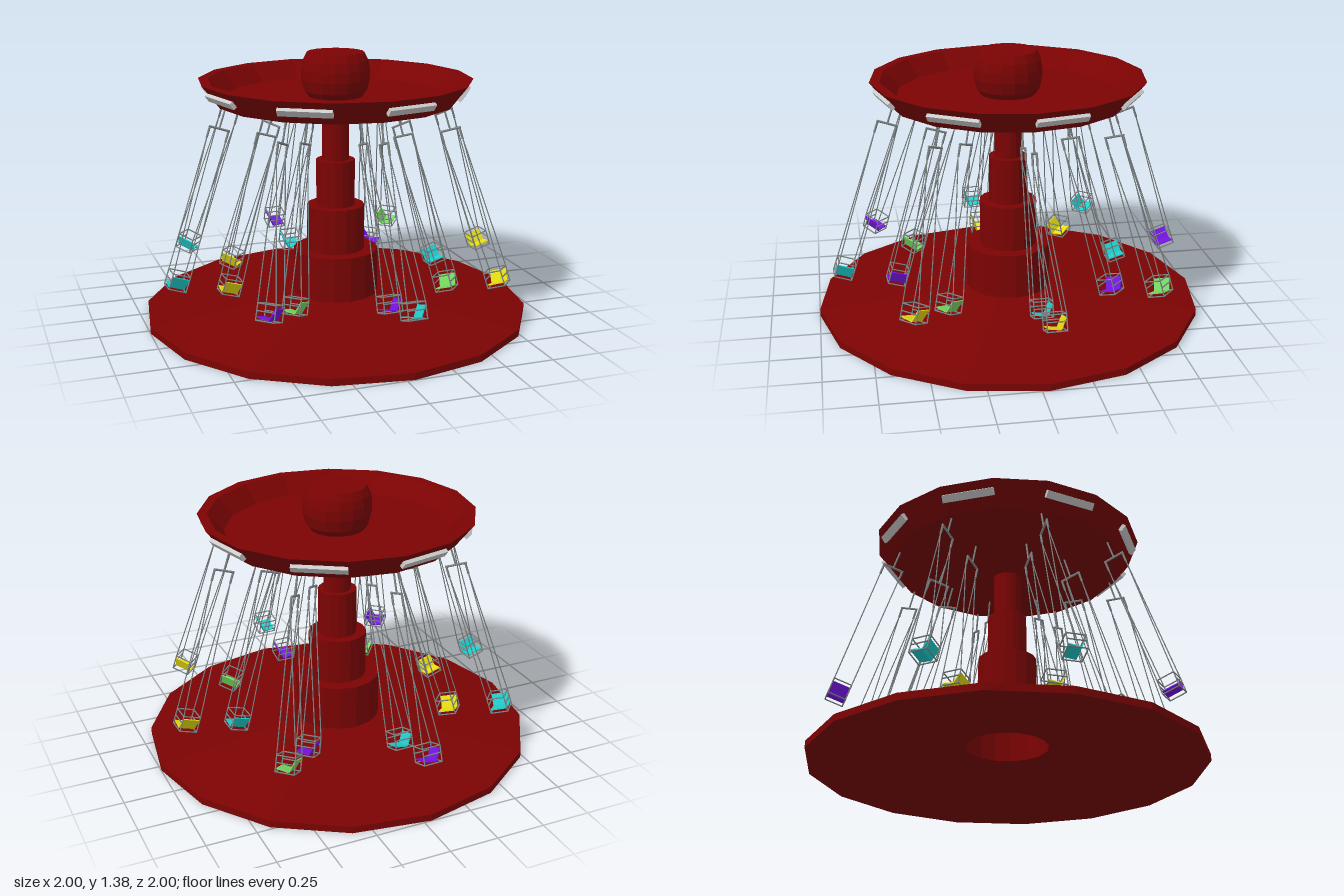
import * as THREE from 'three';
import { mergeGeometries } from 'three/addons/utils/BufferGeometryUtils.js';

const SIDES = 16;
const START = THREE.MathUtils.degToRad(2.25); // slight turn of the whole ride

const mat = (name, color) => {
  const m = new THREE.MeshStandardMaterial({ color });
  m.name = name;
  return m;
};

// faceted turned shape from a [radius, y] profile
function turned(profile) {
  const pts = profile.map(([r, y]) => new THREE.Vector2(r, y));
  const g = new THREE.LatheGeometry(pts, SIDES, START).toNonIndexed();
  g.computeVertexNormals();
  return g;
}

// thin straight rod between two points
function rod(a, b, radius) {
  const p = new THREE.Vector3(...a), q = new THREE.Vector3(...b);
  const dir = q.clone().sub(p);
  const g = new THREE.CylinderGeometry(radius, radius, dir.length(), 5);
  g.applyQuaternion(new THREE.Quaternion().setFromUnitVectors(
    new THREE.Vector3(0, 1, 0), dir.clone().normalize()));
  const mid = p.add(q).multiplyScalar(0.5);
  return g.translate(mid.x, mid.y, mid.z);
}

// seat board sloping from [y, z] to [y, z]
function board([y1, z1], [y2, z2]) {
  const dy = y2 - y1, dz = z2 - z1;
  return new THREE.BoxGeometry(0.086, 0.006, Math.hypot(dy, dz))
    .rotateX(Math.atan2(-dy, dz))
    .translate(0, (y1 + y2) / 2, (z1 + z2) / 2);
}

export function createModel() {
  const model = new THREE.Group();
  model.name = 'chairSwingRide';

  const red = mat('dark red', 0x7c0303);
  const silver = mat('light panel grey', 0xcccccc);
  const steel = mat('steel grey', 0x808686);
  const teal = mat('teal', 0x1fcfcf);
  const yellow = mat('yellow', 0xe6de12);
  const green = mat('green', 0x76dc62);
  const purple = mat('purple', 0x7a16ee);

  const add = (parent, name, geometry, material) => {
    const mesh = new THREE.Mesh(geometry, material);
    mesh.name = name;
    parent.add(mesh);
    return mesh;
  };

  // conical platform, hollow underneath, and the stepped tower
  add(model, 'platform', turned([
    [0, 0.33], [0.21, 0.33], [0.21, 0.105], [0.995, 0.002], [1, 0], [1, 0.035], [0.215, 0.112],
  ]), red);
  add(model, 'tower', turned([
    [0.22, 0.108], [0.22, 0.345], [0.15, 0.345], [0.15, 0.58],
    [0.1, 0.58], [0.1, 0.82], [0.07, 0.82], [0.07, 1.07],
  ]), red);

  // dish-shaped canopy and the knob on top
  add(model, 'canopy', turned([
    [0, 1.057], [0.2, 1.062], [0.61, 1.125], [0.7, 1.24], [0.65, 1.24], [0.57, 1.15], [0, 1.15],
  ]), red);
  add(model, 'knob', turned([
    [0.13, 1.14], [0.16, 1.18], [0.175, 1.24], [0.175, 1.29],
    [0.166, 1.335], [0.146, 1.375], [0, 1.375],
  ]), red);

  // light panels on every other canopy facet
  const panelGeo = new THREE.BoxGeometry(0.264, 0.038, 0.02);
  for (let i = 0; i < 8; i++) {
    const az = START + Math.PI / SIDES + i * Math.PI / 4;
    const panel = add(model, 'lightPanel', panelGeo, silver);
    panel.position.set(Math.sin(az) * 0.656, 1.185, Math.cos(az) * 0.656);
    panel.rotation.set(0.66, az, 0, 'YXZ');
  }

  // swing parts: x points outwards, -z is where the backrest leans
  const W = 0.045, OPEN = 0, BACK = -0.095, TOP = -0.845, BOTTOM = -0.925;
  const BAR = -0.1, PRONG = -0.16;
  const hanger = [
    rod([0, 0.03, 0], [0, BAR, 0], 0.005),
    rod([-0.055, BAR, 0], [0.055, BAR, 0], 0.006),
  ];
  const chains = [];
  const cage = [];
  for (const s of [-1, 1]) {
    const x = s * W;
    hanger.push(rod([s * 0.05, BAR, 0], [s * 0.05, PRONG, 0], 0.006));
    for (const z of [OPEN, BACK]) {
      chains.push(rod([s * 0.05, PRONG, 0], [x, TOP, z], 0.003));
      cage.push(rod([x, TOP, z], [x, BOTTOM, z], 0.0035));
    }
    for (const y of [TOP, -0.88, BOTTOM]) {
      cage.push(rod([x, y, OPEN], [x, y, BACK], 0.0035));
    }
  }
  for (const z of [OPEN, BACK]) {
    for (const y of [TOP, BOTTOM]) cage.push(rod([-W, y, z], [W, y, z], 0.0035));
  }
  const hangerGeo = mergeGeometries(hanger);
  const chainGeo = mergeGeometries(chains);
  const cageGeo = mergeGeometries(cage);
  const seatGeo = mergeGeometries([
    board([-0.908, -0.004], [-0.918, -0.066]),
    board([-0.918, -0.066], [-0.86, -0.093]),
  ]);

  // two rings of eight swings, counted from the front towards the left
  const rings = [
    { name: 'outerSwing', radius: 0.584, y: 1.12, tilt: 18.5,
      colors: [teal, yellow, yellow, green, purple, teal, teal, purple] },
    { name: 'innerSwing', radius: 0.342, y: 1.07, tilt: 16.5,
      colors: [purple, green, teal, purple, teal, yellow, yellow, green] },
  ];
  for (const ring of rings) {
    ring.colors.forEach((color, i) => {
      const az = START + i * Math.PI / 4;
      const swing = new THREE.Group();
      swing.name = ring.name;
      swing.position.set(Math.sin(az) * ring.radius, ring.y, Math.cos(az) * ring.radius);
      swing.rotation.set(0, az - Math.PI / 2, THREE.MathUtils.degToRad(ring.tilt));
      add(swing, 'hanger', hangerGeo, steel);
      add(swing, 'chains', chainGeo, steel);
      add(swing, 'seatFrame', cageGeo, steel);
      add(swing, 'seat', seatGeo, color);
      model.add(swing);
    });
  }

  return model;
}
